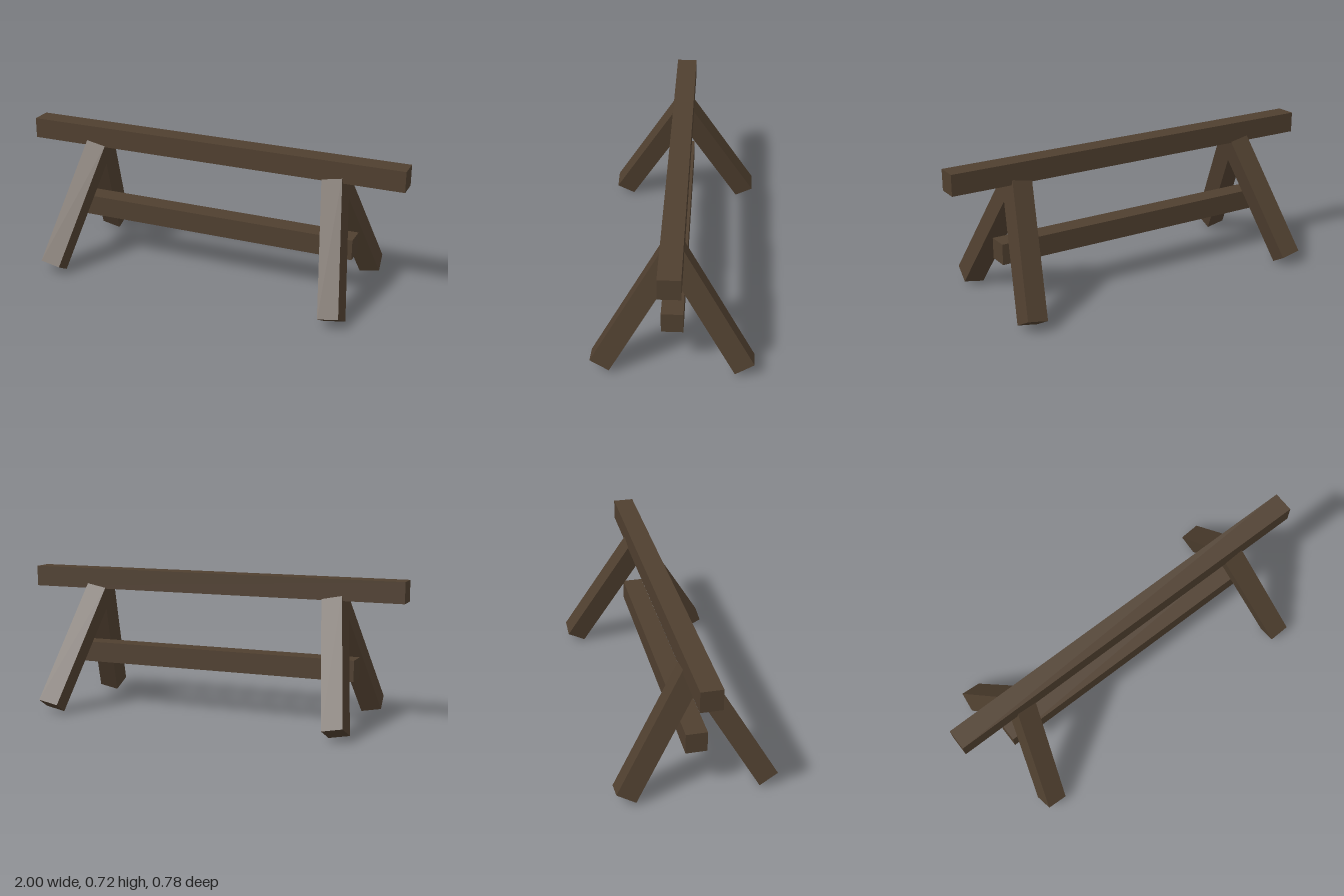
import * as THREE from 'three';

const T = 0.105; // timber thickness

export function createModel() {
  const group = new THREE.Group();
  const wood = new THREE.MeshStandardMaterial({ color: 0x4f3f2f, flatShading: true });

  // Square timber along x
  const bar = (name, length, y) => {
    const mesh = new THREE.Mesh(new THREE.BoxGeometry(length, T, T), wood);
    mesh.name = name;
    mesh.position.y = y;
    group.add(mesh);
  };
  bar('topBeam', 2, 0.67);
  bar('lowerRail', 1.52, 0.277);

  // Four legs, splayed 30 degrees to front and back and 11 degrees to the ends
  const L = 0.686;
  const legGeometry = new THREE.BoxGeometry(T, L, T).translate(0, L / 2, 0);
  for (const sx of [1, -1]) {
    for (const sz of [1, -1]) {
      const leg = new THREE.Mesh(legGeometry, wood);
      leg.name = (sz > 0 ? 'front' : 'back') + (sx > 0 ? 'Left' : 'Right') + 'Leg';
      leg.position.set(sx * 0.758, 0.036, sz * 0.3425);
      leg.rotation.set(-sz * Math.PI / 6, 0, sx * THREE.MathUtils.degToRad(11), 'ZYX');
      group.add(leg);
    }
  }
  return group;
}
